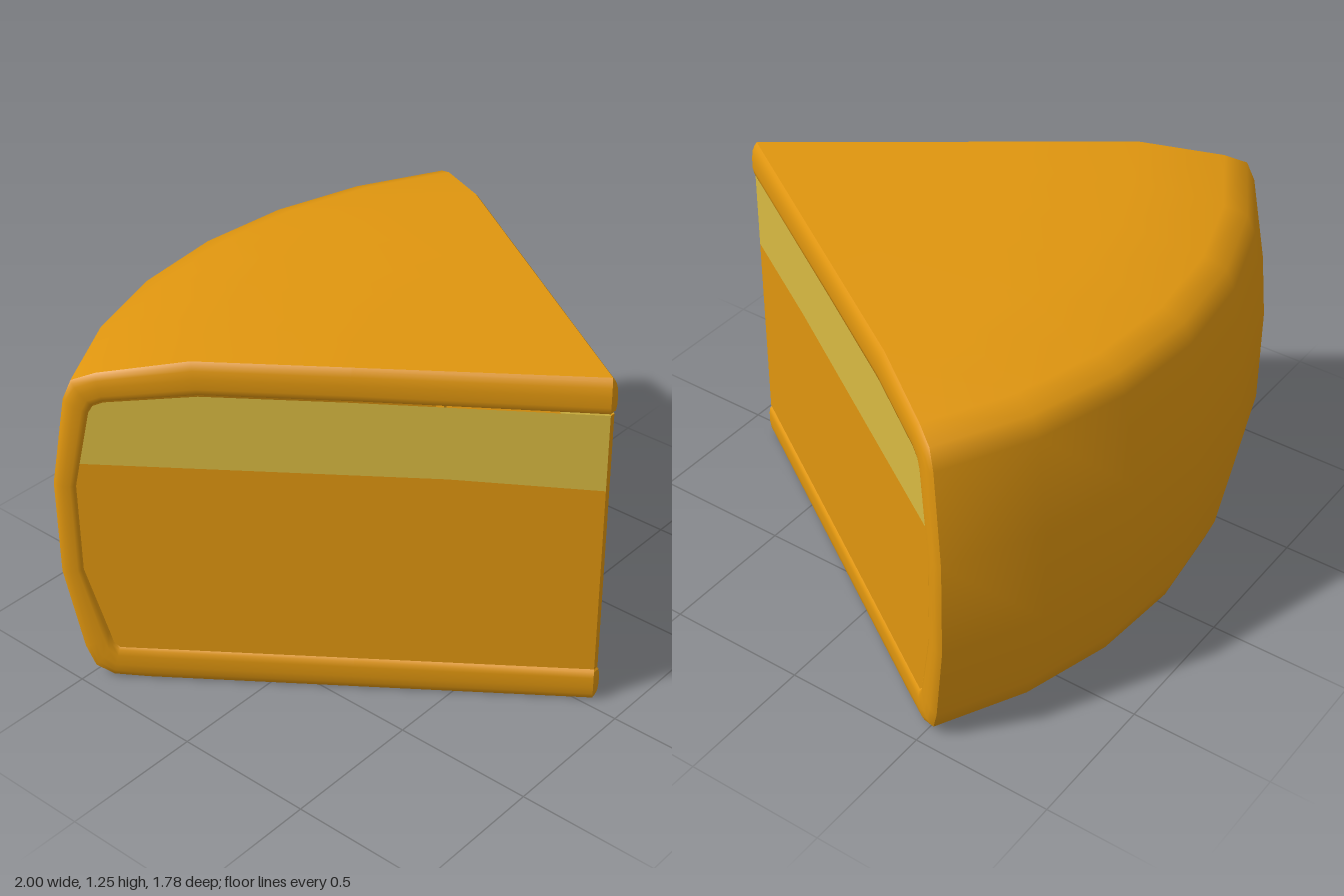
import * as THREE from 'three';

const APEX = new THREE.Vector3(0.04, 0, 0.878);
const ANGLE = { left: 0.574, right: 0.628 }; // +x side and -x side, from the -z axis
const PANEL_D = 0.012;

// Cross-section outline of the wedge and of the cut panel, as (radius, height)
const OUTER = [[0, 0], [0.8, 0], [1.5, 0], [1.62, 0.005], [1.68, 0.04], [1.71, 0.12], [1.765, 0.43],
  [1.765, 0.78], [1.71, 1.1], [1.68, 1.17], [1.6, 1.2], [1.3, 1.255], [0.8, 1.255], [0, 1.255]];
const INNER = [[0, 0.13], [0.8, 0.13], [1.45, 0.13], [1.59, 0.13], [1.61, 0.15], [1.62, 0.19], [1.69, 0.45],
  [1.69, 0.78], [1.63, 1.06], [1.615, 1.085], [1.58, 1.1], [1.28, 1.135], [0.8, 1.135], [0, 1.125]];
const SPLIT = [[1.672, 0.865], [0.5, 0.865], [0, 0.845]];

// Rounded rim section: (fraction from outer to inner outline, distance out of the cut)
const RIM = [[0, 0], [0.08, 0.008], [0.22, 0.016], [0.45, 0.02], [0.75, 0.02], [0.92, 0.016], [1, 0.002]];

// Point on a cut face: radius, height and distance out of the face
function place(side, r, y, d) {
  const a = ANGLE[side], s = side === 'left' ? 1 : -1;
  return new THREE.Vector3(
    APEX.x + s * (r * Math.sin(a) + d * Math.cos(a)), y,
    APEX.z - r * Math.cos(a) + d * Math.sin(a));
}

// Surface through rows of points
function grid(rows, flip = false) {
  const n = rows[0].length, index = [];
  for (let j = 0; j < rows.length - 1; j++) {
    for (let i = 0; i < n - 1; i++) {
      const a = j * n + i, b = a + 1, c = b + n, d = a + n;
      if (flip) index.push(a, c, b, a, d, c);
      else index.push(a, b, c, a, c, d);
    }
  }
  const g = new THREE.BufferGeometry().setFromPoints(rows.flat());
  g.setIndex(index);
  g.computeVertexNormals();
  return g;
}

// Flat plate on a cut face
function plate(side, outline) {
  const g = new THREE.ShapeGeometry(new THREE.Shape(outline.map(([r, y]) => new THREE.Vector2(r, y))));
  const pos = g.attributes.position;
  for (let i = 0; i < pos.count; i++) {
    const p = place(side, pos.getX(i), pos.getY(i), PANEL_D);
    pos.setXYZ(i, p.x, p.y, p.z);
  }
  if (side === 'right') g.index.array.reverse();
  g.computeVertexNormals();
  return g;
}

export function createModel() {
  const model = new THREE.Group();
  model.name = 'wedge';
  const rind = new THREE.MeshStandardMaterial({ color: 0xe0960f, side: THREE.DoubleSide });
  rind.name = 'orange';
  const cream = new THREE.MeshStandardMaterial({ color: 0xd9ba42, side: THREE.DoubleSide });
  cream.name = 'cream';
  const add = (name, geometry, material, parent = model) => {
    const mesh = new THREE.Mesh(geometry, material);
    mesh.name = name;
    parent.add(mesh);
    return mesh;
  };

  // Top, base and curved back
  const body = add('rind', new THREE.LatheGeometry(
    OUTER.map(([r, y]) => new THREE.Vector2(r, y)), 6,
    Math.PI - ANGLE.left, ANGLE.left + ANGLE.right), rind);
  body.position.copy(APEX);

  // Two cut faces, each a rounded rim round a panel with a pale upper band
  for (const side of ['left', 'right']) {
    const face = new THREE.Group();
    face.name = side + 'CutFace';
    model.add(face);
    const rows = RIM.map(([t, d]) => OUTER.map(([r, y], i) =>
      place(side, r + (INNER[i][0] - r) * t, y + (INNER[i][1] - y) * t, d)));
    add('rim', grid(rows, side === 'right'), rind, face);
    add('lowerPanel', plate(side, [...INNER.slice(0, 8), ...SPLIT]), rind, face);
    add('upperBand', plate(side, [...[...SPLIT].reverse(), ...INNER.slice(8)]), cream, face);
  }

  // Narrow front edge joining the two cut faces
  const last = OUTER.length - 1;
  const end = (i) => RIM.map(([t, d]) => [OUTER[i][1] + (INNER[i][1] - OUTER[i][1]) * t, d]);
  const edge = [...end(0), [INNER[0][1], PANEL_D], [INNER[last][1], PANEL_D], ...end(last).reverse()];
  const tip = grid(edge.map(([y, d]) => [place('right', 0, y, d), place('left', 0, y, d)])).toNonIndexed();
  tip.computeVertexNormals();
  add('frontEdge', tip, rind);

  return model;
}
